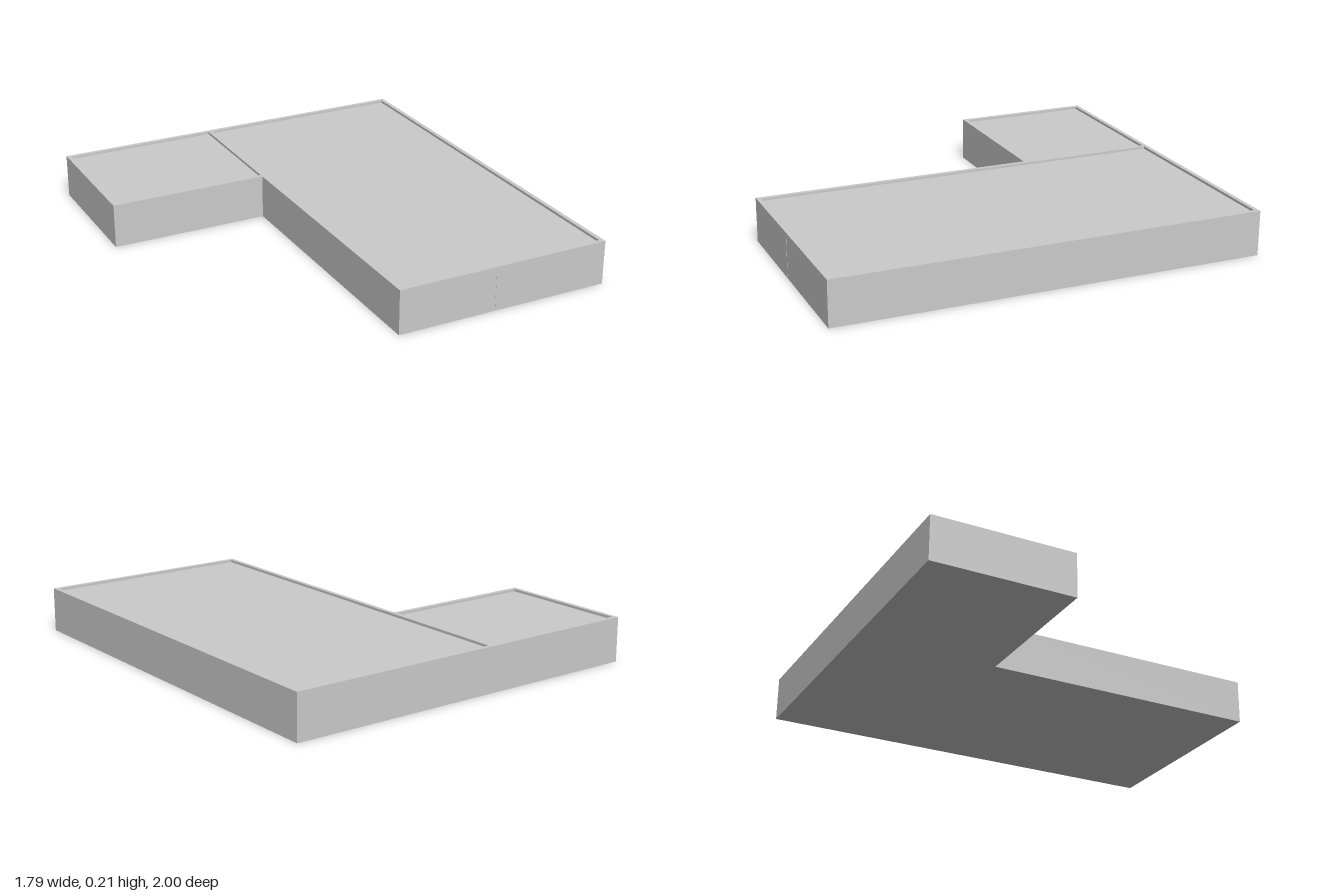
import * as THREE from 'three';

const HEIGHT = 0.21, WALL = 0.02, RECESS = 0.012, SLAB = 0.02;

// Plan rectangles as [x0, x1, z0, z1]
const MAIN = [-0.14, 0.895, -1, 1];
const WING = [-0.895, -0.14, -1, -0.33];

export function createModel() {
  const group = new THREE.Group();
  group.name = 'lShapedBuilding';
  const material = new THREE.MeshStandardMaterial({ color: 0xcccccc, flatShading: true });

  const add = (name, geometry) => {
    const mesh = new THREE.Mesh(geometry, material);
    mesh.name = name;
    group.add(mesh);
    return mesh;
  };
  const box = (name, [x0, x1, z0, z1], y0, y1) =>
    add(name, new THREE.BoxGeometry(x1 - x0, y1 - y0, z1 - z0))
      .position.set((x0 + x1) / 2, (y0 + y1) / 2, (z0 + z1) / 2);
  // Plan points are drawn with -z as the shape's y, then stood upright
  const points = (list) => list.map(([x, z]) => new THREE.Vector2(x, -z));

  // Room openings inside the walls
  const rooms = {
    main: [MAIN[0] + WALL, MAIN[1] - WALL, MAIN[2] + WALL, MAIN[3] - WALL],
    wing: [WING[0] + WALL, WING[1], WING[2] + WALL, WING[3] - WALL],
  };

  // Outer walls, parapet and the wall dividing the two wings
  const plan = new THREE.Shape(points([
    [MAIN[0], MAIN[3]], [MAIN[1], MAIN[3]], [MAIN[1], MAIN[2]],
    [WING[0], WING[2]], [WING[0], WING[3]], [MAIN[0], WING[3]],
  ]));
  for (const [x0, x1, z0, z1] of Object.values(rooms)) {
    plan.holes.push(new THREE.Path(points([[x0, z0], [x1, z0], [x1, z1], [x0, z1]])));
  }
  const walls = new THREE.ExtrudeGeometry(plan, { depth: HEIGHT, bevelEnabled: false });
  walls.rotateX(-Math.PI / 2);
  add('walls', walls);

  // Floor and slightly sunken flat roof of each wing
  for (const [name, room] of Object.entries(rooms)) {
    box(name + 'Floor', room, 0, SLAB);
    box(name + 'Roof', room, HEIGHT - RECESS - SLAB, HEIGHT - RECESS);
  }

  // Fine vertical joint in the front wall
  box('frontWallJoint', [0.333, 0.337, 0.99, 1.001], 0.01, HEIGHT - RECESS);

  return group;
}
